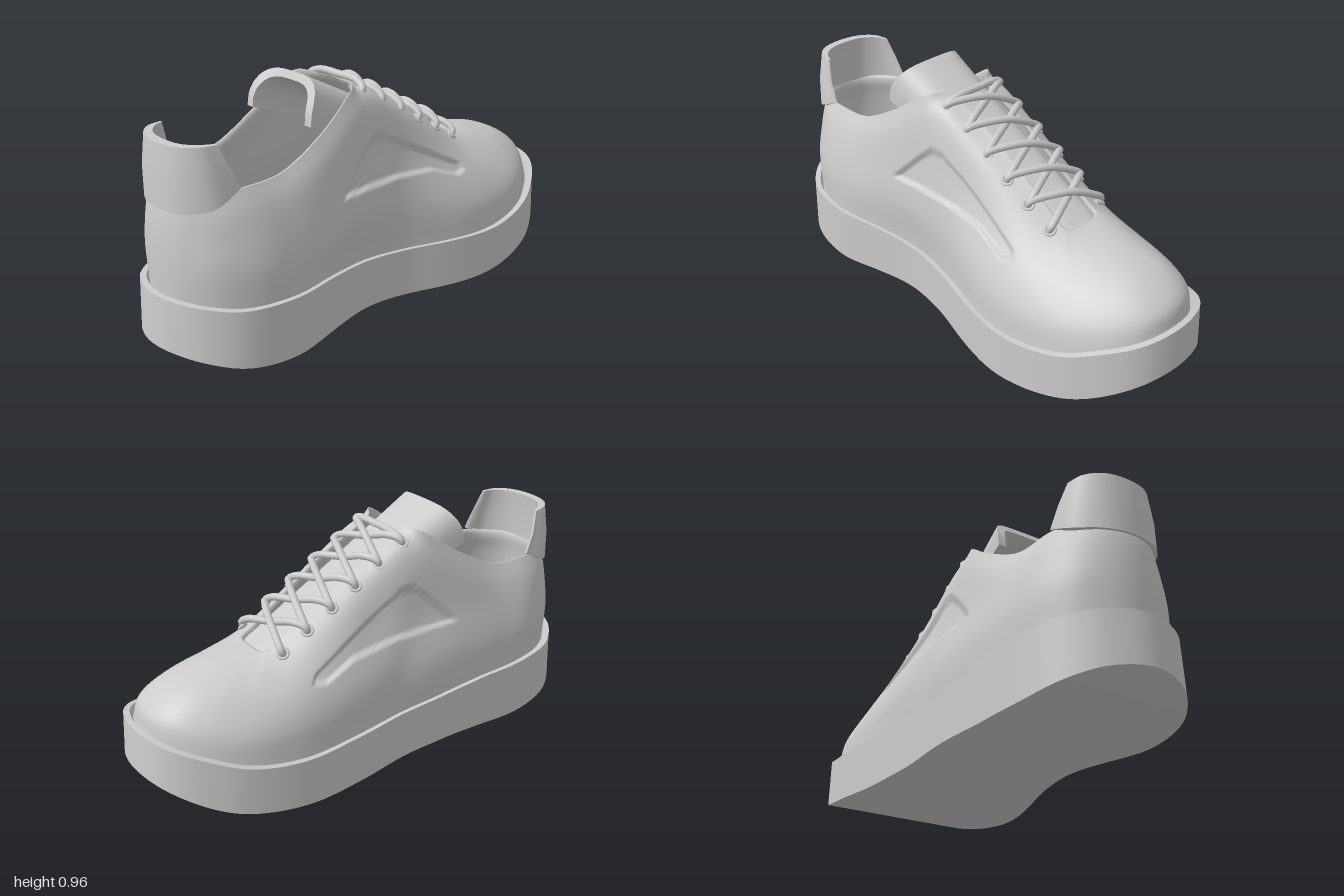
import * as THREE from 'three';
import { toCreasedNormals } from 'three/addons/utils/BufferGeometryUtils.js';

const V = (x, y, z) => new THREE.Vector3(x, y, z);
const material = new THREE.MeshStandardMaterial({ color: 0xcccccc, side: THREE.DoubleSide });
const { lerp, smoothstep } = THREE.MathUtils;

// Smooth height curve through [x, value] pairs
function table(pts) {
  const slope = i => {
    const a = pts[Math.max(i - 1, 0)], b = pts[Math.min(i + 1, pts.length - 1)];
    return (b[1] - a[1]) / (b[0] - a[0]);
  };
  return x => {
    let i = 0;
    while (i < pts.length - 2 && x > pts[i + 1][0]) i++;
    const [x0, y0] = pts[i], [x1, y1] = pts[i + 1], d = x1 - x0;
    const t = Math.min(1, Math.max(0, (x - x0) / d)), t2 = t * t, t3 = t2 * t;
    return y0 * (2 * t3 - 3 * t2 + 1) + y1 * (3 * t2 - 2 * t3)
      + slope(i) * d * (t3 - 2 * t2 + t) + slope(i + 1) * d * (t3 - t2);
  };
}

const soleTop = table([[-1, 0.30], [-0.8, 0.268], [-0.4, 0.25], [0, 0.22], [0.3, 0.205], [0.5, 0.207], [0.7, 0.235], [0.88, 0.30], [1, 0.345]]);
const soleBottom = table([[-1, 0.10], [-0.8, 0.04], [-0.6, 0.02], [-0.2, 0.03], [0.3, 0.003], [0.6, 0.025], [0.8, 0.075], [1, 0.18]]);
const footCentre = table([[-1, -0.02], [-0.6, -0.02], [-0.2, -0.045], [0, -0.032], [0.3, -0.005], [0.5, 0], [1, 0]]);
const centre = (x, y) => lerp(footCentre(x), -0.025, smoothstep(y, 0.25, 0.6));

// Skin closed rings of equal length into one surface
function loft(rings) {
  const n = rings[0].length, index = [];
  for (let r = 0; r < rings.length - 1; r++) for (let i = 0; i < n; i++) {
    const a = r * n + i, b = r * n + (i + 1) % n;
    index.push(a, b, b + n, a, b + n, a + n);
  }
  const g = new THREE.BufferGeometry().setFromPoints(rings.flat());
  g.setIndex(index);
  g.computeVertexNormals();
  return g;
}

function add(parent, name, geometry) {
  const mesh = new THREE.Mesh(geometry, material);
  mesh.name = name;
  parent.add(mesh);
  return mesh;
}

// Closed curve from the half on the +z side, heel to toe
function mirroredLoop(half) {
  const back = half.slice(1, -1).reverse().map(([x, y, h]) => [x, y, -h]);
  return new THREE.CatmullRomCurve3([...half, ...back].map(p => V(...p)), true, 'catmullrom', 0.5);
}
const sample = (curve, n) => Array.from({ length: n }, (_, i) => curve.getPoint(i / n));

// Sole and insole share one footprint
const footprint = sample(mirroredLoop([
  [-1, 0, 0], [-0.98, 0, 0.10], [-0.92, 0, 0.2], [-0.8, 0, 0.285], [-0.6, 0, 0.32], [-0.4, 0, 0.305], [-0.2, 0, 0.293],
  [0, 0, 0.302], [0.2, 0, 0.34], [0.4, 0, 0.37], [0.55, 0, 0.368], [0.7, 0, 0.34], [0.8, 0, 0.3], [0.9, 0, 0.235],
  [0.96, 0, 0.165], [0.99, 0, 0.085], [1, 0, 0]]), 160);
const footRing = (height, sx, k, lift = 0) => footprint.map(p =>
  V(p.x * sx, height(p.x) + lift, footCentre(p.x) + p.z * k));

// Upper: five guide rows, each listing x, y and half width from heel to toe
const baseRow = [[-0.955, 0.28, 0], [-0.93, 0.28, 0.11], [-0.84, 0.26, 0.22], [-0.68, 0.25, 0.285], [-0.5, 0.24, 0.285],
  [-0.3, 0.23, 0.27], [-0.1, 0.215, 0.265], [0.02, 0.205, 0.275], [0.15, 0.2, 0.3], [0.32, 0.19, 0.33], [0.5, 0.19, 0.337],
  [0.69, 0.21, 0.31], [0.84, 0.25, 0.24], [0.927, 0.3, 0.135], [0.955, 0.33, 0]];
const lowRow = [[-0.955, 0.42, 0], [-0.93, 0.42, 0.115], [-0.85, 0.42, 0.215], [-0.7, 0.4, 0.28], [-0.52, 0.39, 0.285],
  [-0.32, 0.4, 0.275], [-0.13, 0.4, 0.27], [-0.01, 0.4, 0.27], [0.13, 0.38, 0.29], [0.31, 0.34, 0.315], [0.49, 0.32, 0.32],
  [0.67, 0.33, 0.29], [0.815, 0.36, 0.22], [0.905, 0.39, 0.125], [0.935, 0.4, 0]];
const midRow = [[-0.95, 0.52, 0], [-0.925, 0.52, 0.11], [-0.845, 0.52, 0.2], [-0.71, 0.52, 0.255], [-0.53, 0.52, 0.26],
  [-0.34, 0.56, 0.25], [-0.16, 0.6, 0.235], [-0.04, 0.6, 0.235], [0.1, 0.56, 0.235], [0.29, 0.48, 0.26], [0.47, 0.43, 0.265],
  [0.63, 0.425, 0.23], [0.75, 0.445, 0.17], [0.82, 0.465, 0.095], [0.84, 0.47, 0]];
const highRow = [[-0.94, 0.6, 0], [-0.915, 0.6, 0.105], [-0.835, 0.6, 0.185], [-0.72, 0.61, 0.225], [-0.54, 0.62, 0.23],
  [-0.35, 0.7, 0.225], [-0.17, 0.81, 0.203], [-0.08, 0.85, 0.17], [0.1, 0.74, 0.17], [0.28, 0.62, 0.175], [0.44, 0.53, 0.17],
  [0.56, 0.502, 0.153], [0.635, 0.507, 0.112], [0.675, 0.516, 0.06], [0.685, 0.52, 0]];
const rimRow = [[-0.925, 0.66, 0], [-0.9, 0.66, 0.1], [-0.82, 0.665, 0.165], [-0.72, 0.68, 0.19], [-0.54, 0.69, 0.195],
  [-0.35, 0.785, 0.195], [-0.18, 0.9, 0.17], [-0.1, 0.895, 0.09], [0.1, 0.8, 0.086], [0.28, 0.685, 0.088], [0.43, 0.58, 0.09],
  [0.485, 0.55, 0.087], [0.503, 0.545, 0.062], [0.506, 0.545, 0.032], [0.506, 0.545, 0]];

// Recessed side panel, as a depth rule in x and y
const panel = [[-0.31, 0.52], [-0.17, 0.66], [-0.11, 0.71], [-0.05, 0.71], [0.37, 0.485], [0.39, 0.45], [0.33, 0.44], [0.2, 0.495], [0, 0.52]]
  .map(p => new THREE.Vector2(...p));
function panelDepth(x, y) {
  let inside = false, nearest = 1;
  panel.forEach((a, i) => {
    const b = panel[(i + 1) % panel.length], d = b.clone().sub(a);
    const q = new THREE.Vector2(x, y).sub(a);
    if ((a.y > y) !== (b.y > y) && q.x < d.x * q.y / d.y) inside = !inside;
    const t = Math.min(1, Math.max(0, q.dot(d) / d.lengthSq()));
    nearest = Math.min(nearest, q.distanceTo(d.multiplyScalar(t)));
  });
  return inside ? 0.016 * smoothstep(nearest, 0, 0.014) : 0;
}

function upperGeometry() {
  const rows = [baseRow, lowRow, midRow, highRow, rimRow].map(r => sample(mirroredLoop(r), 448));
  const sections = rows[0].map((_, i) => new THREE.CatmullRomCurve3(rows.map(r => r[i])));
  const shift = p => V(p.x, p.y, p.z + centre(p.x, p.y));
  const outer = v => sections.map(s => {
    const p = s.getPoint(v), depth = panelDepth(p.x, p.y);
    return shift(p.add(V(0, -0.4 * depth, -0.92 * depth * Math.sign(p.z))));
  });
  // Lining: the same shell moved towards the middle of the foot
  const lining = (v, thickness, lift) => sections.map(s => {
    const p = s.getPoint(v), spine = V(Math.min(0.4, Math.max(-0.6, p.x)), 0.4, 0);
    p.add(spine.sub(p).setLength(thickness));
    p.y += lift;
    return shift(p);
  });
  const rings = [];
  for (let j = 0; j <= 76; j++) rings.push(outer(j / 76));
  rings.push(lining(1, 0.012, 0.008), lining(1, 0.026, 0.003));
  for (let j = 9; j >= 1; j--) rings.push(lining(j / 10, 0.03, 0));
  return loft(rings);
}

// Heel tab: a raised band that thins out towards both ends
function heelTabGeometry() {
  const arc = half => new THREE.CatmullRomCurve3(
    [...half, ...half.slice(0, -1).reverse().map(([x, y, z]) => [x, y, -z])].map(p => V(...p)));
  const bottom = arc([[-0.73, 0.686, 0.196], [-0.84, 0.636, 0.189], [-0.922, 0.62, 0.108], [-0.945, 0.62, 0]]);
  const top = arc([[-0.8, 0.852, 0.166], [-0.86, 0.855, 0.15], [-0.912, 0.855, 0.095], [-0.93, 0.855, 0]]);
  const rings = [];
  for (let i = 0; i <= 48; i++) {
    const b = bottom.getPoint(i / 48), t = top.getPoint(i / 48);
    const mid = b.clone().lerp(t, 0.5).add(V(-0.005, 0, b.z * 0.03));
    const thickness = lerp(0.008, 0.035, Math.sqrt(Math.sin(Math.PI * i / 48)));
    const inward = p => p.clone().add(V(-0.62 - p.x, 0, -p.z).setLength(thickness));
    rings.push([b, mid, t, inward(t), inward(mid), inward(b)].map(p => p.add(V(0, 0, -0.022))));
  }
  return toCreasedNormals(loft(capEnds(rings)), 0.8);
}

// Close both ends of a sweep by shrinking the end ring to its middle
function capEnds(rings) {
  const flat = ring => ring.map((p, i) => p.clone().lerp(ring[ring.length - 1 - i], 0.5));
  return [flat(rings[0]), ...rings, flat(rings[rings.length - 1])];
}

// Tongue: a padded arch running up the instep
function tongueGeometry() {
  const rings = [], normal = V(0.46, 0.89, 0);
  for (let j = 0; j <= 24; j++) {
    const t = j / 24, x = lerp(0.52, -0.31, t);
    const w = lerp(0.095, 0.178, t), drop = lerp(0.045, 0.175, t);
    const arch = inset => Array.from({ length: 25 }, (_, i) => {
      const a = Math.PI * i / 24, c = Math.cos(a), s = Math.pow(Math.abs(Math.sin(a)), 0.6);
      const n = -drop + (drop - inset) * s;
      const bow = 0.02 * t * 4 * s * (1 - s);
      return V(x - bow, 0.966 - 0.535 * (x + 0.31), Math.sign(c) * Math.pow(Math.abs(c), 0.6) * (w - inset) - 0.025).addScaledVector(normal, n);
    });
    rings.push([...arch(0), ...arch(0.032).reverse()]);
  }
  return toCreasedNormals(loft(capEnds(rings)), 0.9);
}

function addLaces(group) {
  const eyelet = (i, side) => V(-0.095 + 0.109 * i, 0.868 - 0.062 * i, -0.03 + side * 0.146);
  const lace = (a, b, lift) => {
    const at = (t, up) => a.clone().lerp(b, t).add(V(up * 0.45, up, 0));
    const path = new THREE.CatmullRomCurve3([at(0.02, -0.02), at(0, 0.012), at(0.14, 0.034), at(0.5, lift), at(0.86, 0.034), at(1, 0.012), at(0.98, -0.02)]);
    add(group, 'lace', new THREE.TubeGeometry(path, 40, 0.0145, 10));
  };
  for (let i = 0; i < 6; i++) {
    for (const side of [1, -1]) {
      const ring = add(group, 'eyelet', new THREE.TorusGeometry(0.02, 0.006, 8, 20));
      ring.position.copy(eyelet(i, side));
      ring.lookAt(ring.position.clone().add(V(0.4, 0.7, side * 0.6)));
      if (i < 5) lace(eyelet(i, side), eyelet(i + 1, -side), side > 0 ? 0.056 : 0.03);
    }
  }
  lace(eyelet(0, 1), eyelet(0, -1), 0.038);
}

export function createModel() {
  const shoe = new THREE.Group();
  shoe.name = 'shoe';
  // Thick sole with a narrow rim around the upper
  add(shoe, 'sole', toCreasedNormals(loft([
    footRing(soleBottom, 1, 0), footRing(soleBottom, 1, 0.5), footRing(soleBottom, 1, 1), footRing(soleTop, 0.988, 1),
    footRing(soleTop, 0.965, 0.945), footRing(soleTop, 0.955, 0.92, -0.025), footRing(soleTop, 0.955, 0, -0.025)]), 0.6));
  add(shoe, 'insole', loft([footRing(soleTop, 0.88, 0.8, 0.05), footRing(soleTop, 0.88, 0.4, 0.05), footRing(soleTop, 0.88, 0, 0.05)]));
  add(shoe, 'upper', upperGeometry());
  add(shoe, 'heelTab', heelTabGeometry());
  add(shoe, 'tongue', tongueGeometry());
  const laces = new THREE.Group();
  laces.name = 'laces';
  addLaces(laces);
  shoe.add(laces);
  return shoe;
}
